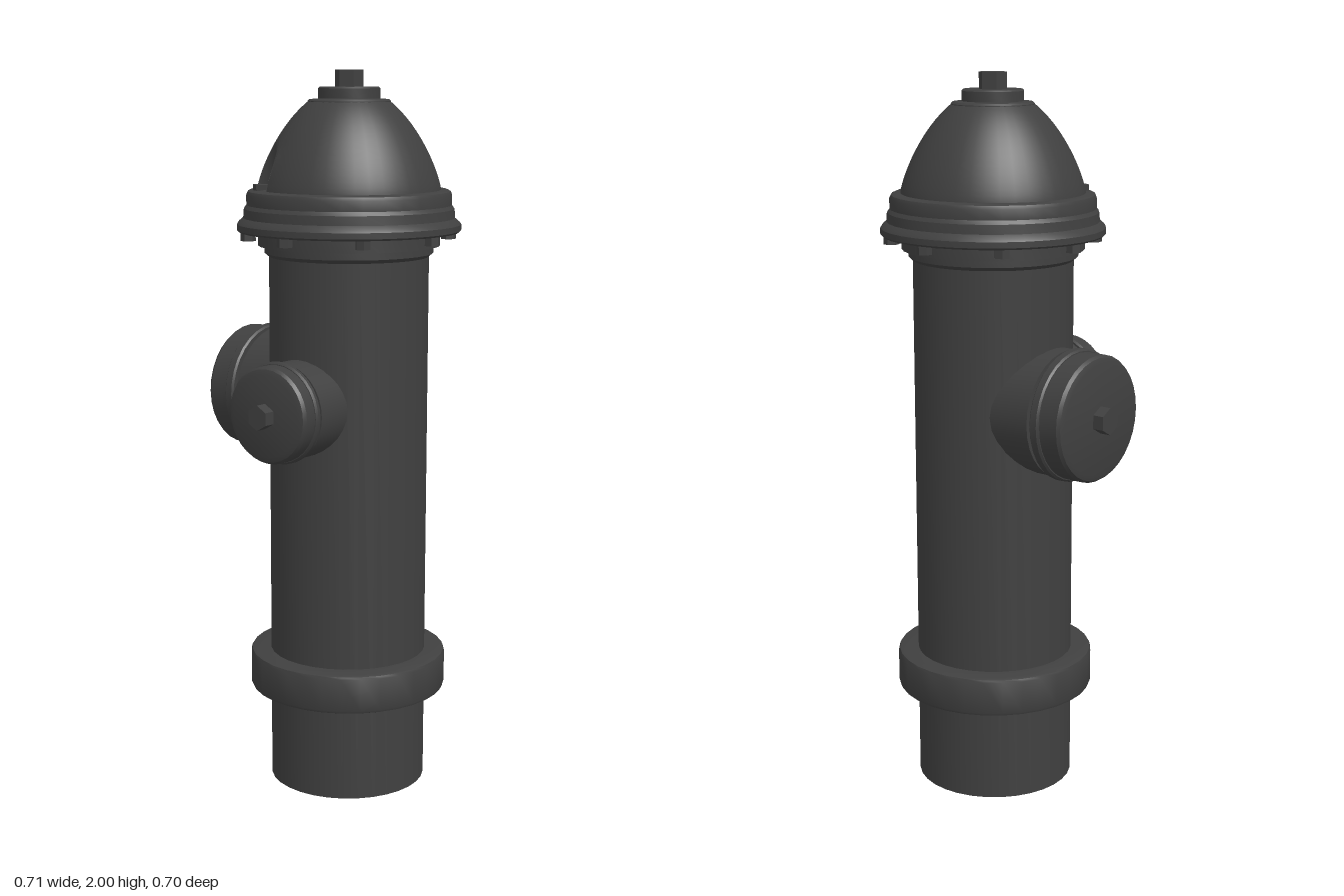
import * as THREE from 'three';
import { toCreasedNormals } from 'three/addons/utils/BufferGeometryUtils.js';

const material = new THREE.MeshStandardMaterial({ color: 0x404040 });
const SIDES = 32;

function addMesh(parent, name, geometry) {
  const mesh = new THREE.Mesh(geometry, material);
  mesh.name = name;
  parent.add(mesh);
  return mesh;
}

// Turned part; profile is [radius, height] from bottom to top
function turned(profile) {
  const points = profile.map(([r, y]) => new THREE.Vector2(r, y));
  return toCreasedNormals(new THREE.LatheGeometry(points, SIDES), 0.5);
}

// Six-sided nut standing on y = bottom
function hexNut(radius, bottom, top) {
  return toCreasedNormals(
    new THREE.CylinderGeometry(radius, radius, top - bottom, 6).translate(0, (top + bottom) / 2, 0), 0.3);
}

// Domed bonnet with a round vertical pocket cut into its rim
const POCKET = { angle: -0.665, distance: 0.262, radius: 0.066, floor: 1.683 };
const RIM = 0.251, CROWN = 0.105;
const domeHeight = r => 1.68 + 0.28 * Math.pow(Math.max(0, 1 - (r / RIM) ** 2), 0.77);

function bonnetGeometry() {
  const { angle, distance, radius, floor } = POCKET;
  // Where the pocket's round wall crosses the dome's rim
  const half = Math.acos((RIM ** 2 + distance ** 2 - radius ** 2) / (2 * RIM * distance));
  const offsets = [];
  for (let i = 0; i <= 20; i++) offsets.push(-half * Math.cos(i / 20 * Math.PI));
  for (let i = 1; i <= 36; i++) offsets.push(half + (2 * Math.PI - 2 * half) * i / 36);

  const rows = 14, positions = [], indices = [];
  offsets.forEach((a, column) => {
    const inside = column <= 20;
    let edge = RIM;
    if (inside) {
      const across = distance * Math.sin(a);
      edge = Math.min(RIM, distance * Math.cos(a) - Math.sqrt(Math.max(0, radius ** 2 - across ** 2)));
    }
    const section = [[RIM, inside ? floor : 1.68], [edge, inside ? floor : 1.68]];
    for (let j = rows; j >= 0; j--) {
      const r = CROWN + (edge - CROWN) * Math.sin(j / rows * Math.PI / 2);
      section.push([r, domeHeight(r)]);
    }
    for (const [r, y] of section) positions.push(r * Math.sin(angle + a), y, r * Math.cos(angle + a));
  });
  const count = rows + 3;
  for (let i = 0; i < offsets.length - 1; i++) {
    for (let j = 0; j < count - 1; j++) {
      const a = i * count + j, b = a + count;
      indices.push(a, b, a + 1, b + 1, a + 1, b);
    }
  }
  const geometry = new THREE.BufferGeometry();
  geometry.setAttribute('position', new THREE.Float32BufferAttribute(positions, 3));
  geometry.setIndex(indices);
  return toCreasedNormals(geometry, 0.6);
}

// Side outlet along local +y: neck, flanged cap and hex nut
function outlet(name, { neck, flange, cap, neckEnd, flangeStart, flangeEnd, capEnd, nutEnd, nut }) {
  const group = new THREE.Group();
  group.name = name;
  addMesh(group, name + 'Neck', turned([
    [neck, 0.1], [neck, neckEnd], [neck - 0.012, neckEnd], [neck - 0.012, flangeStart + 0.002]]));
  addMesh(group, name + 'Cap', turned([
    [0, flangeStart], [flange - 0.005, flangeStart], [flange, flangeStart + 0.005],
    [flange, flangeEnd - 0.005], [flange - 0.005, flangeEnd], [cap, flangeEnd],
    [cap, capEnd - 0.014], [cap - 0.006, capEnd - 0.005], [cap - 0.02, capEnd], [0, capEnd]]));
  addMesh(group, name + 'Nut', hexNut(nut, capEnd - 0.005, nutEnd));
  group.rotation.x = Math.PI / 2;
  const holder = new THREE.Group();
  holder.name = name + 'Mount';
  holder.position.y = 1.105;
  holder.add(group);
  return holder;
}

export function createModel() {
  const model = new THREE.Group();
  model.name = 'fireHydrant';
  const body = new THREE.Group();
  body.name = 'body';
  body.position.set(0.047, 0, -0.045);
  model.add(body);

  // Standpipe and ground band
  addMesh(body, 'barrel', turned([
    [0, 0], [0.22, 0], [0.22, 1.5], [0.232, 1.51], [0.232, 1.535], [0.2, 1.535]]));
  addMesh(body, 'groundBand', turned([
    [0.21, 0.27], [0.267, 0.27], [0.274, 0.273], [0.277, 0.28],
    [0.277, 0.37], [0.274, 0.377], [0.267, 0.38], [0.21, 0.38]]));

  // Stepped flange under the bonnet, with bolts hanging below
  addMesh(body, 'flange', turned([
    [0.2, 1.53], [0.25, 1.53], [0.25, 1.567], [0.302, 1.567], [0.307, 1.572], [0.307, 1.588],
    [0.302, 1.595], [0.29, 1.605], [0.288, 1.63], [0.281, 1.64], [0.281, 1.668],
    [0.277, 1.677], [0.268, 1.681], [0.2, 1.681]]));
  for (let i = 0; i < 8; i++) {
    const a = i * Math.PI / 4;
    const bolt = addMesh(body, 'flangeBolt', hexNut(0.021, 1.543, 1.575));
    bolt.position.set(0.277 * Math.sin(a), 0, 0.277 * Math.cos(a));
    bolt.rotation.y = a;
  }

  // Bonnet, crown and operating nut
  addMesh(body, 'bonnet', bonnetGeometry());
  addMesh(body, 'crown', turned([
    [0.113, 1.9], [0.113, 1.917], [0.108, 1.922], [0.084, 1.924],
    [0.084, 1.951], [0.08, 1.955], [0, 1.955]]));
  addMesh(body, 'operatingNut', hexNut(0.039, 1.95, 2)).rotation.y = -0.1;
  const pocketBolt = addMesh(body, 'pocketBolt', hexNut(0.026, 1.67, 1.697));
  pocketBolt.position.set(-0.153, 0, 0.184);

  // Outlets: a small one at the front, a large one on the right
  body.add(outlet('frontOutlet', {
    neck: 0.132, flange: 0.138, cap: 0.131, neckEnd: 0.286, flangeStart: 0.294,
    flangeEnd: 0.313, capEnd: 0.361, nutEnd: 0.394, nut: 0.034 }));
  const sideOutlet = outlet('sideOutlet', {
    neck: 0.174, flange: 0.181, cap: 0.173, neckEnd: 0.26, flangeStart: 0.272,
    flangeEnd: 0.302, capEnd: 0.372, nutEnd: 0.404, nut: 0.037 });
  sideOutlet.rotation.y = -Math.PI / 2;
  body.add(sideOutlet);

  return model;
}
